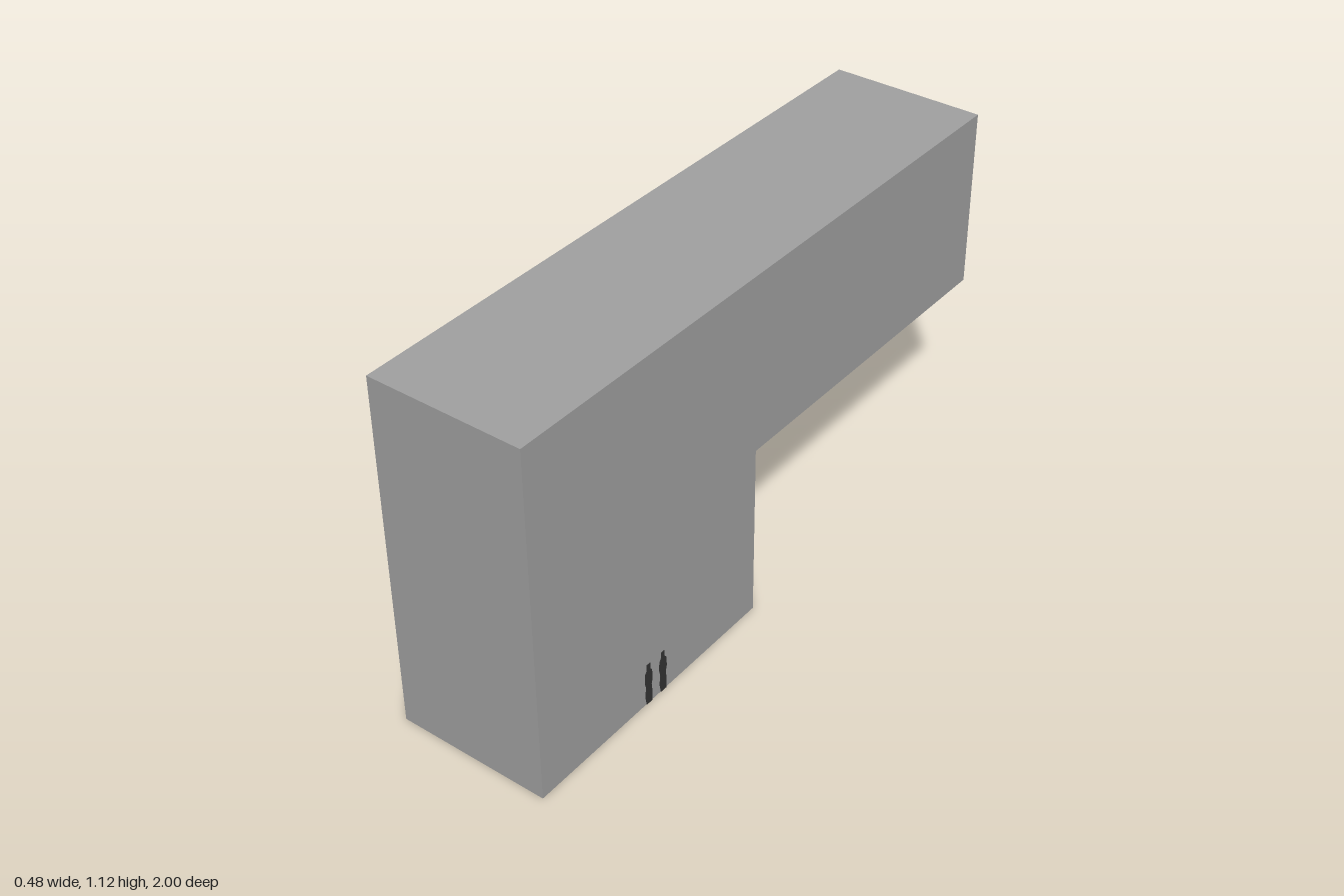
import * as THREE from 'three';

export function createModel() {
  const model = new THREE.Group();
  const shellGrey = new THREE.MeshStandardMaterial({ color: 0xa0a0a0, side: THREE.DoubleSide });
  shellGrey.name = 'shell grey';
  const figureDark = new THREE.MeshStandardMaterial({ color: 0x333333, side: THREE.DoubleSide });
  figureDark.name = 'figure dark grey';

  const half = 0.24;
  const shapeOf = (points) => new THREE.Shape(points.map(([u, y]) => new THREE.Vector2(u, y)));

  // L-shaped outline in (-z, y), counter-clockwise seen from +x
  const outline = [[-1, 0], [-0.08, 0], [-0.08, 0.56], [1, 0.56], [1, 1.12], [-1, 1.12]];
  const names = ['floor', 'stepWall', 'overhangFloor', 'backWall', 'roof', 'frontWall'];

  // Closed side wall; the opposite side stays open
  const wall = new THREE.Mesh(new THREE.ShapeGeometry(shapeOf(outline)), shellGrey);
  wall.name = 'sideWall';
  wall.rotation.y = Math.PI / 2;
  wall.position.x = half;
  model.add(wall);

  // One flat panel along each edge of the outline, facing outward
  outline.forEach(([u, y], i) => {
    const [u2, y2] = outline[(i + 1) % outline.length];
    const geometry = new THREE.PlaneGeometry(2 * half, Math.hypot(u2 - u, y2 - y));
    geometry.rotateX(Math.PI / 2); // normal -y, length along z
    geometry.rotateX(-Math.atan2(y2 - y, u2 - u));
    // Outward normal of a counter-clockwise edge is (dy, -du) in (-z, y)
    const normal = new THREE.Vector3().fromBufferAttribute(geometry.attributes.normal, 0);
    const outward = new THREE.Vector3(0, -(u2 - u), -(y2 - y));
    if (normal.dot(outward) < 0) geometry.rotateX(Math.PI);
    const panel = new THREE.Mesh(geometry, shellGrey);
    panel.name = names[i];
    panel.position.set(0, (y + y2) / 2, -(u + u2) / 2);
    model.add(panel);
  });

  // Two small standing figures, flat against the side wall
  const figure = [[-0.010, 0], [0.012, 0], [0.014, 0.035], [0.011, 0.06], [0.016, 0.08],
    [0.014, 0.112], [0.007, 0.12], [0.007, 0.14], [-0.007, 0.14], [-0.007, 0.12],
    [-0.014, 0.11], [-0.016, 0.08], [-0.011, 0.06], [-0.015, 0.03]];
  const figureGeometry = new THREE.ExtrudeGeometry(shapeOf(figure), { depth: 0.004, bevelEnabled: false });
  [['frontFigure', 0.56], ['rearFigure', 0.498]].forEach(([name, z]) => {
    const mesh = new THREE.Mesh(figureGeometry, figureDark);
    mesh.name = name;
    mesh.rotation.y = Math.PI / 2;
    mesh.position.set(half - 0.002, 0, z);
    model.add(mesh);
  });

  return model;
}
